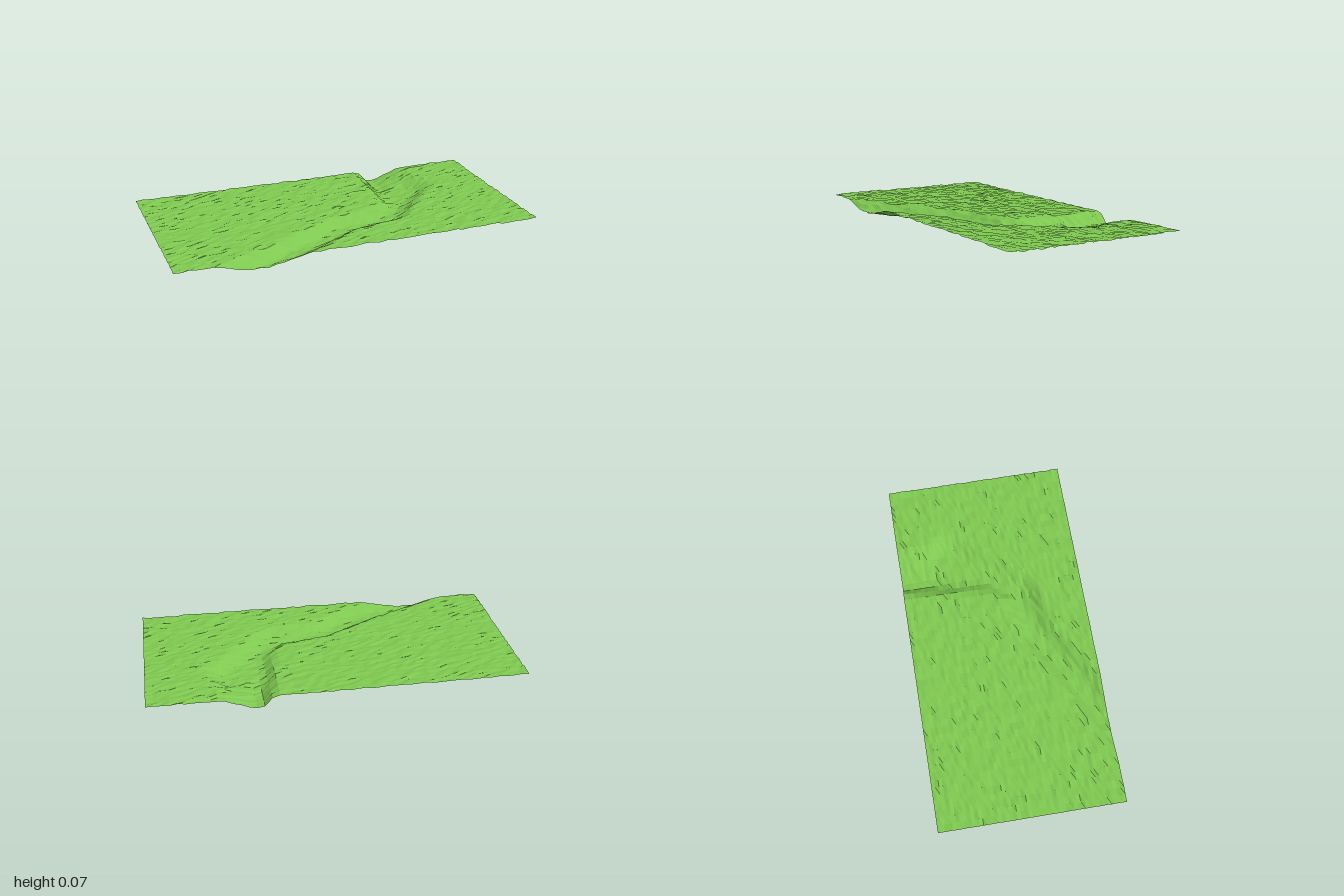
import * as THREE from 'three';

// Floor line of the stream bed as [x, z], running back to front
const BED = [[0.44, -0.7], [0.43, -0.45], [0.4, -0.2], [0.38, 0], [0.28, 0.14],
  [0, 0.19], [-0.28, 0.36], [-0.55, 0.49], [-0.8, 0.61]];

// Small seeded random generator
function seeded(seed) {
  return () => {
    seed = (seed * 1664525 + 1013904223) % 4294967296;
    return seed / 4294967296;
  };
}

// Signed distance to the bed line: positive towards the gentle bank
function bedDistance(x, z) {
  let best = Infinity, sign = 1;
  for (let i = 0; i < BED.length - 1; i++) {
    const [ax, az] = BED[i], [bx, bz] = BED[i + 1];
    const dx = bx - ax, dz = bz - az;
    const t = THREE.MathUtils.clamp(((x - ax) * dx + (z - az) * dz) / (dx * dx + dz * dz), 0, 1);
    const d = Math.hypot(x - ax - t * dx, z - az - t * dz);
    if (d < best) {
      best = d;
      sign = (x - ax) * dz - (z - az) * dx >= 0 ? 1 : -1;
    }
  }
  return best * sign;
}

// Depth of the channel below the meadow
function channelDepth(x, z) {
  const { smoothstep } = THREE.MathUtils;
  const d = bedDistance(x, z);
  const back = 1 - smoothstep(z, -0.12, 0.1);           // the bed widens towards the back
  const pool = Math.exp(-(((z + 0.2) / 0.13) ** 2));    // broad shelf beside the bend
  const floor = d > 0 ? 0.015 + 0.16 * pool : 0.015;
  const width = d > 0 ? 0.13 + 0.1 * back + 0.06 * pool : 0.1;
  const bank = 1 - smoothstep(Math.abs(d), floor, width);
  const deep = (1 - smoothstep(z, -0.32, -0.2)) * (1 - smoothstep(Math.abs(d), 0.02, 0.08));
  return 0.046 * bank + 0.014 * deep;
}

export function createModel() {
  const group = new THREE.Group();
  group.name = 'terrain';

  // Grassy sheet with slight bumps and a winding channel
  const geometry = new THREE.PlaneGeometry(2, 1, 50, 50);
  geometry.rotateX(-Math.PI / 2);
  const pos = geometry.attributes.position;
  const random = seeded(17);
  for (let i = 0; i < pos.count; i++) {
    const bump = (random() - 0.5) * 0.009;
    pos.setY(i, bump - channelDepth(pos.getX(i), pos.getZ(i)));
  }
  geometry.computeBoundingBox();
  geometry.translate(0, -geometry.boundingBox.min.y + 0.002, 0);
  geometry.computeVertexNormals();

  const grass = new THREE.MeshStandardMaterial({
    color: 0x7ec850, flatShading: true, side: THREE.DoubleSide,
  });
  const ground = new THREE.Mesh(geometry, grass);
  ground.name = 'grassGround';
  group.add(ground);
  return group;
}
